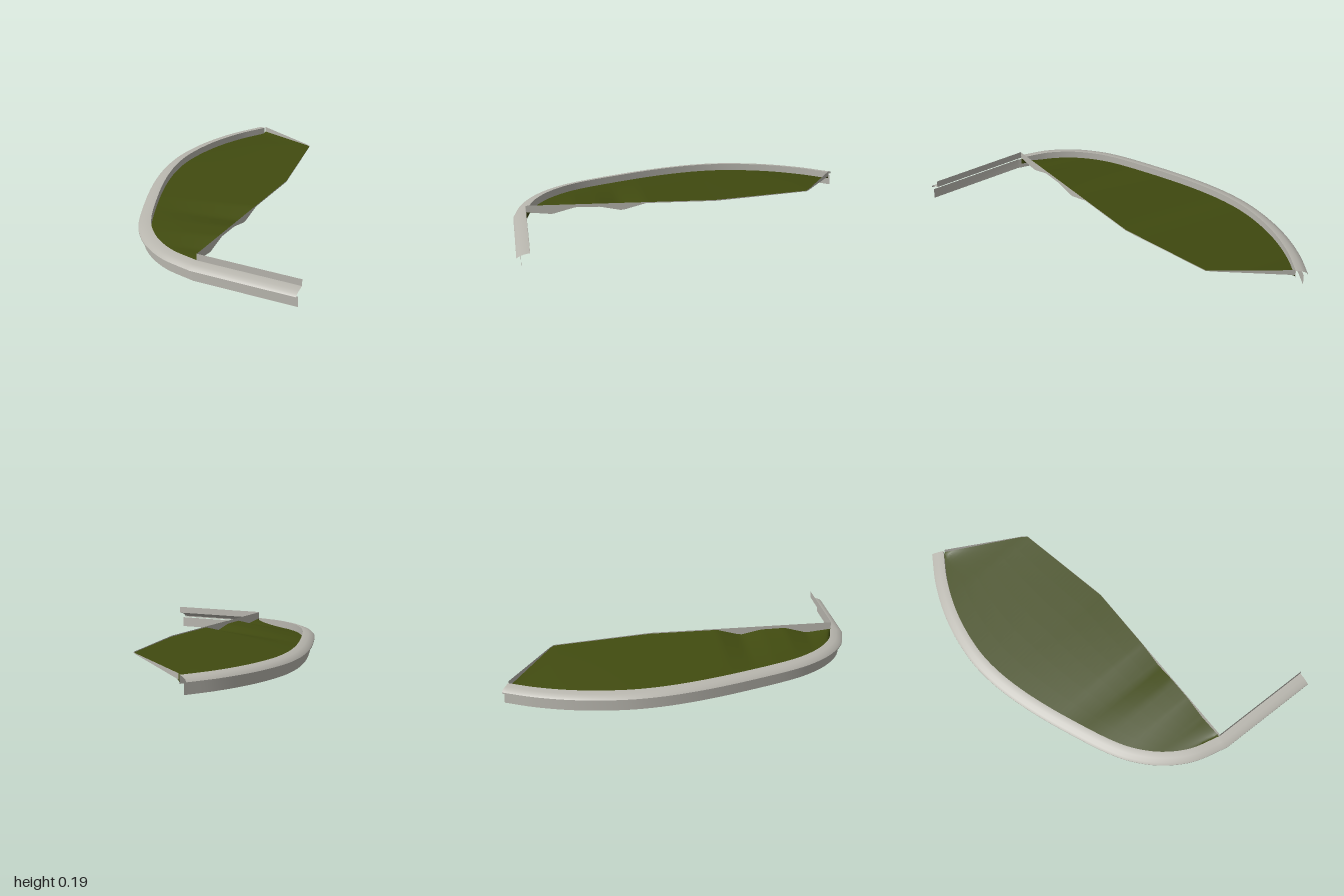
import * as THREE from 'three';
import { toCreasedNormals } from 'three/addons/utils/BufferGeometryUtils.js';

const stone = new THREE.MeshStandardMaterial({ name: 'pale stone', color: 0xb8b6ae, side: THREE.DoubleSide });
const grass = new THREE.MeshStandardMaterial({ name: 'dark grass', color: 0x414b10, side: THREE.DoubleSide });

// Surface through rows of [x, y, z] points, all rows of equal length
function loft(name, rows, material, crease = 0.5) {
  const n = rows[0].length;
  const index = [];
  for (let i = 0; i < rows.length - 1; i++) {
    for (let j = 0; j < n - 1; j++) {
      const a = i * n + j, b = a + n;
      index.push(a, b, a + 1, b, b + 1, a + 1);
    }
  }
  const g = new THREE.BufferGeometry();
  g.setAttribute('position', new THREE.Float32BufferAttribute(rows.flat(2), 3));
  g.setIndex(index);
  const mesh = new THREE.Mesh(toCreasedNormals(g, crease), material);
  mesh.name = name;
  return mesh;
}

// Piecewise linear lookup in [key, value] pairs
function lookup(table, k) {
  for (let i = 1; i < table.length; i++) {
    const [k0, v0] = table[i - 1], [k1, v1] = table[i];
    if (k <= k1) return v0 + (v1 - v0) * Math.max(0, (k - k0) / (k1 - k0));
  }
  return table[table.length - 1][1];
}

// The whole kerb climbs gently towards the front
const base = (z) => 0.0275 + 0.0275 * z;

// Sweep a profile of [inward distance, height] along stations
const sweep = (name, stations, profile) => loft(name, stations.map((s) =>
  profile.map(([d, h]) => [s.x + s.nx * d, base(s.z) + h, s.z + s.nz * d])), stone);

export function createModel() {
  const model = new THREE.Group();
  model.name = 'kerbedVerge';

  // Outer line of the kerb: a long bend, then a straight
  const curve = new THREE.CatmullRomCurve3([
    [-0.5, -1], [-0.59, -0.84], [-0.66, -0.66], [-0.7, -0.48], [-0.714, -0.3],
    [-0.7, -0.14], [-0.665, 0.02], [-0.615, 0.18], [-0.55, 0.35], [-0.435, 0.61],
    [-0.36, 0.73], [-0.245, 0.85], [-0.09, 0.945], [0.11, 0.998],
  ].map(([x, z]) => new THREE.Vector3(x, 0, z)));
  const bend = [];
  const steps = 90;
  for (let i = 0; i <= steps; i++) {
    const p = curve.getPointAt(i / steps), t = curve.getTangentAt(i / steps);
    bend.push({ x: p.x, z: p.z, nx: t.z, nz: -t.x });
  }
  const corner = { x: 0.11, z: 0.998, nx: 0, nz: -1 };
  bend[steps] = corner;
  const straight = [corner, { ...corner, x: 0.71 }];
  const all = [...bend, straight[1]];

  // Kerb: upright face set back below a rounded, sloping cap
  model.add(sweep('kerbFace', all, [[0.024, 0], [0.024, 0.06]]));
  model.add(sweep('kerbCap', all, [[0, 0.062], [0, 0.068], [0.012, 0.08], [0.035, 0.089], [0.06, 0.095], [0.071, 0.096]]));
  model.add(sweep('kerbInnerFace', bend, [[0.071, 0.096], [0.071, 0.05]]));
  model.add(sweep('straightUpstand', straight, [[0.071, 0.096], [0.071, 0.135]]));

  // Free edge of the grass: plan position, wavy height and skirting top, by z
  const edgeX = [[-0.97, -0.44], [-0.72, 0], [-0.15, 0.11], [0.93, 0.11]];
  const edgeY = [[-0.97, 0.07], [-0.85, 0.105], [-0.72, 0.142], [-0.15, 0.155], [0.05, 0.16], [0.245, 0.165],
    [0.385, 0.13], [0.51, 0.158], [0.65, 0.163], [0.78, 0.13], [0.925, 0.148]];
  const skirtY = [[-0.97, 0.103], [-0.72, 0.146], [0.925, 0.188]];

  // Grass rises from the foot of the kerb to the free edge
  const grassRows = [], skirtRows = [];
  for (const s of bend) {
    const x0 = s.x + s.nx * 0.071, z = s.z + s.nz * 0.071;
    const x1 = Math.max(x0, lookup(edgeX, z)), y0 = base(z) + 0.055, y1 = lookup(edgeY, z);
    const row = [];
    for (let j = 0; j <= 6; j++) {
      const t = j / 6;
      row.push([x0 + (x1 - x0) * t, y0 + (y1 - y0) * t, z]);
    }
    grassRows.push(row);
    skirtRows.push([[x1, y1, z], [x1, lookup(skirtY, z), z]]);
  }
  model.add(loft('grass', grassRows, grass, 1));
  model.add(loft('edgeSkirting', skirtRows, stone));

  return model;
}
